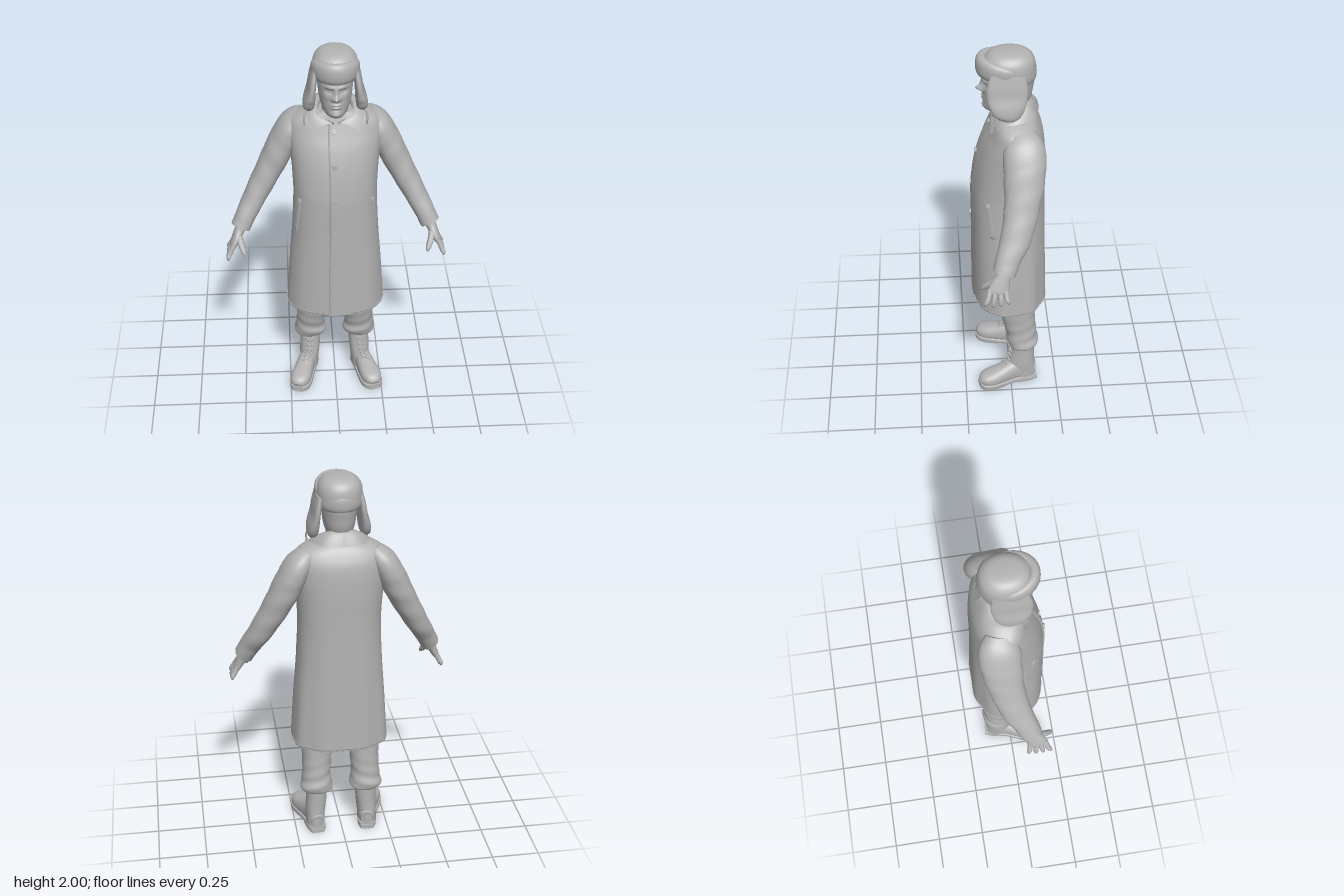
import * as THREE from 'three';

const grey = new THREE.MeshStandardMaterial({ color: 0xb2b2b2, side: THREE.DoubleSide });
grey.name = 'plain grey';
const V = (x, y, z) => new THREE.Vector3(x, y, z);

// Smoothly resample rows of numbers, 'steps' samples per interval
function resample(rows, steps) {
  const out = [], last = rows.length - 1;
  for (let i = 0; i <= last * steps; i++) {
    const k = Math.min(Math.floor(i / steps), last - 1), t = i / steps - k;
    const [a, b, c, d] = [k - 1, k, k + 1, k + 2].map(j => rows[Math.max(0, Math.min(last, j))]);
    out.push(b.map((v, j) => v + 0.5 * t * (c[j] - a[j] + t * (2 * a[j] - 5 * v + 4 * c[j] - d[j] + t * (3 * (v - c[j]) + d[j] - a[j])))));
  }
  return out;
}
const sup = (v, n) => Math.sign(v) * Math.pow(Math.abs(v), 2 / n);

// Loft rounded sections along rows [x, y, z, radius along hint, radius across]
function loft(rows, { hint = V(0, 0, 1), flat = false, n = 2.2, segs = 28, steps = 5, ripple = () => 1 } = {}) {
  const s = resample(rows, steps), pos = [], idx = [];
  const centre = s.map(r => V(r[0], r[1], r[2]));
  s.forEach((r, i) => {
    const T = centre[Math.min(i + 1, s.length - 1)].clone().sub(centre[Math.max(i - 1, 0)]).normalize();
    if (flat) T.set(0, Math.sign(T.y), 0);
    const a = hint.clone().addScaledVector(T, -hint.dot(T)).normalize(), b = T.clone().cross(a);
    for (let j = 0; j < segs; j++) {
      const p = j / segs * Math.PI * 2, k = ripple(p, r[1]);
      const q = centre[i].clone().addScaledVector(a, Math.max(r[3], 0.001) * k * sup(Math.cos(p), n))
        .addScaledVector(b, Math.max(r[4], 0.001) * k * sup(Math.sin(p), n));
      pos.push(q.x, q.y, q.z);
    }
  });
  for (let i = 0; i < s.length - 1; i++) for (let j = 0; j < segs; j++) {
    const A = i * segs + j, B = i * segs + (j + 1) % segs;
    idx.push(A, B, B + segs, A, B + segs, A + segs);
  }
  // end caps with their own corners, so the rim stays crisp
  for (const i of [0, s.length - 1]) {
    const base = pos.length / 3;
    pos.push(...pos.slice(i * segs * 3, (i + 1) * segs * 3), ...centre[i].toArray());
    for (let j = 0; j < segs; j++) {
      const A = base + j, B = base + (j + 1) % segs, C = base + segs;
      i ? idx.push(A, B, C) : idx.push(B, A, C);
    }
  }
  return build(pos, idx);
}
function build(pos, idx) {
  const g = new THREE.BufferGeometry();
  g.setAttribute('position', new THREE.Float32BufferAttribute(pos, 3));
  g.setIndex(idx);
  g.computeVertexNormals();
  return g;
}
// Open cloth surface from fn(u, v)
function sheet(fn, nu, nv) {
  const pos = [], idx = [];
  for (let i = 0; i <= nu; i++) for (let j = 0; j <= nv; j++) {
    pos.push(...fn(i / nu, j / nv).toArray());
    if (i < nu && j < nv) {
      const A = i * (nv + 1) + j, B = A + nv + 1;
      idx.push(A, B, B + 1, A, B + 1, A + 1);
    }
  }
  return build(pos, idx);
}
function mirrored(geo) {
  const g = geo.clone().scale(-1, 1, 1), ix = g.index.array;
  for (let i = 0; i < ix.length; i += 3) [ix[i], ix[i + 1]] = [ix[i + 1], ix[i]];
  g.computeVertexNormals();
  return g;
}
const cord = (pts, r) => new THREE.TubeGeometry(new THREE.CatmullRomCurve3(pts), 10, r, 6);

// Coat outline, hem to neck
const coatRows = [[0, 0.54, 0, 0.193, 0.257], [0, 0.8, 0.002, 0.19, 0.24], [0, 1, 0.003, 0.187, 0.224], [0, 1.2, 0.004, 0.185, 0.214],
  [0, 1.3, 0, 0.18, 0.216], [0, 1.4, -0.008, 0.172, 0.222], [0, 1.5, -0.02, 0.155, 0.232], [0, 1.57, -0.03, 0.135, 0.236],
  [0, 1.62, -0.03, 0.115, 0.222], [0, 1.655, -0.025, 0.098, 0.17], [0, 1.68, -0.015, 0.08, 0.1]];
const coatN = 2.4;
const coatFold = (p, y) => 1 + 0.02 * Math.max(0, Math.min(1, (1.25 - y) / 0.6)) * Math.cos(9 * p) * (1 - Math.cos(p)) / 2;
const coatFine = resample(coatRows, 6);
// Point on the coat at angle p from the front and height y, lifted by off
function coatPoint(p, y, off) {
  const i = Math.max(1, coatFine.findIndex(r => r[1] >= y)), a = coatFine[i - 1], b = coatFine[i];
  const r = a.map((v, j) => v + (b[j] - v) * (y - a[1]) / (b[1] - a[1])), k = coatFold(p, y);
  return V((r[4] * k + off) * sup(Math.sin(p), coatN), y, r[2] + (r[3] * k + off) * sup(Math.cos(p), coatN));
}

export function createModel() {
  const model = new THREE.Group();
  const add = (name, geo) => {
    const m = new THREE.Mesh(geo, grey);
    m.name = name;
    model.add(m);
  };
  const pair = (name, geo) => { add(name + 'Left', geo); add(name + 'Right', mirrored(geo)); };

  // Coat body, lining, front overlap, buttons and pockets
  add('coat', loft(coatRows, { flat: true, n: coatN, segs: 72, steps: 6, ripple: coatFold }));
  add('coatHem', loft([[0, 0.537, 0, 0.19, 0.254], [0, 0.552, 0, 0.196, 0.26]], { flat: true, n: coatN, segs: 72, steps: 1, ripple: coatFold }));
  add('frontOverlap', sheet((u, v) => {
    const w = Math.max(0, (u - 0.1) / 0.9);
    return coatPoint(-0.112 + 0.38 * w, 0.54 + 1.09 * v, u === 0 ? -0.004 : 0.008 * (1 - w) + 0.001);
  }, 10, 40));
  for (const y of [1.6, 1.43, 1.24, 1.05]) {
    const p = coatPoint(-0.02, y, 0.01);
    add('button', new THREE.CylinderGeometry(0.013, 0.014, 0.009, 20).rotateX(Math.PI / 2 - (y > 1.5 ? 0.5 : 0)).translate(p.x, p.y, p.z));
  }
  pair('pocketWelt', sheet((u, v) => coatPoint(0.9 + 0.17 * (1 - v) + 0.15 * u, 1.02 + 0.21 * v,
    u === 0 || u === 1 || v === 0 || v === 1 ? -0.002 : 0.007), 12, 16));

  // Turned-down collar: inner stand, fold, outer edge with front points
  const fold = [[0, 1.745, -0.09], [0.06, 1.735, -0.07], [0.088, 1.7, -0.01], [0.075, 1.665, 0.05], [0.01, 1.64, 0.088]];
  const edge = [[0, 1.672, -0.142], [0.1, 1.672, -0.118], [0.15, 1.668, -0.03], [0.143, 1.648, 0.045], [0.112, 1.597, 0.097]];
  const foldC = new THREE.CatmullRomCurve3(fold.map(p => V(...p)));
  const edgeC = new THREE.CatmullRomCurve3(edge.map(p => V(...p)));
  pair('collar', sheet((u, v) => {
    const f = foldC.getPoint(u);
    if (v < 0.3) return V(f.x * 0.93, f.y - 0.06 * (1 - v / 0.3), f.z * 0.93);
    const t = (v - 0.3) / 0.7, q = f.lerp(edgeC.getPoint(u), t);
    q.y += 0.012 * Math.sin(t * Math.PI);
    return q;
  }, 24, 10));

  // Sleeves
  pair('sleeve', loft([[0.165, 1.62, -0.045, 0.07, 0.04], [0.215, 1.56, -0.06, 0.102, 0.065], [0.27, 1.45, -0.058, 0.102, 0.072],
    [0.335, 1.32, -0.042, 0.088, 0.066], [0.405, 1.19, -0.01, 0.077, 0.058], [0.455, 1.1, 0.03, 0.064, 0.052], [0.49, 1.03, 0.056, 0.057, 0.05]],
  { segs: 36, steps: 8, ripple: (p, y) => 1 + 0.015 * Math.sin(y * 55 + 2 * p) * (y < 1.5 && y > 1.06) }));

  // Hands
  pair('palm', loft([[0.475, 1.055, 0.05, 0.034, 0.03], [0.497, 1.012, 0.062, 0.038, 0.026], [0.515, 0.975, 0.078, 0.048, 0.022],
    [0.53, 0.945, 0.087, 0.05, 0.018], [0.533, 0.936, 0.088, 0.042, 0.01]]));
  for (let k = 0; k < 4; k++) {
    const z = 0.05 + 0.025 * k, f = 0.006 * (k - 1), d = [0.016, 0.003, 0, 0.01][k];
    pair('finger', loft([[0.523, 0.965, z, 0.013, 0.012], [0.547, 0.918, z + f, 0.0135, 0.013],
      [0.556, 0.888 + d, z + 2 * f, 0.011, 0.011], [0.557, 0.873 + d, z + 2.2 * f, 0.004, 0.004]], { segs: 12 }));
  }
  pair('thumb', loft([[0.502, 1.0, 0.085, 0.018, 0.018], [0.488, 0.965, 0.13, 0.018, 0.016], [0.475, 0.935, 0.158, 0.014, 0.013],
    [0.469, 0.918, 0.17, 0.005, 0.005]], { segs: 12 }));

  // Trousers gathered above the boots
  pair('trouserLeg', loft([[0.115, 0.8, -0.02, 0.09, 0.085], [0.127, 0.55, -0.03, 0.095, 0.08], [0.13, 0.42, -0.045, 0.088, 0.077],
    [0.134, 0.33, -0.06, 0.081, 0.076], [0.134, 0.285, -0.065, 0.084, 0.086], [0.134, 0.258, -0.068, 0.078, 0.083], [0.135, 0.243, -0.068, 0.062, 0.066]],
  { flat: true, segs: 40, steps: 8, ripple: (p, y) => 1 + 0.03 * Math.max(0, Math.min(1, (0.5 - y) / 0.2)) * Math.sin(y * 90 + 2 * p) }));

  // Boots: shaft, foot, sole, heel, laces
  pair('bootShaft', loft([[0.135, 0.27, -0.07, 0.06, 0.053], [0.135, 0.2, -0.067, 0.063, 0.055], [0.14, 0.13, -0.06, 0.072, 0.054],
    [0.143, 0.07, -0.058, 0.08, 0.05], [0.143, 0.03, -0.058, 0.08, 0.05]], { flat: true }));
  const foot = [[0.135, 0.06, -0.133, 0.045, 0.032], [0.14, 0.065, -0.09, 0.06, 0.046], [0.155, 0.07, -0.02, 0.064, 0.045], [0.176, 0.06, 0.05, 0.052, 0.052],
    [0.195, 0.052, 0.11, 0.044, 0.056], [0.207, 0.045, 0.15, 0.036, 0.045], [0.212, 0.038, 0.17, 0.018, 0.022]];
  const up = V(0, 1, 0);
  pair('bootFoot', loft(foot, { hint: up, n: 2.4 }));
  pair('bootSole', loft(foot.map(r => [r[0], 0.021, r[2] * 1.03, 0.014, r[4] + 0.004]), { hint: up, n: 6 }));
  pair('bootForesole', loft(foot.slice(3).map(r => [r[0], 0.01, r[2] * 1.02, 0.01, r[4] + 0.002]), { hint: up, n: 6 }));
  pair('bootHeel', loft(foot.slice(0, 3).map(r => [r[0], 0.012, r[2] * 1.02 - 0.008, 0.012, r[4] + 0.003]), { hint: up, n: 6 }));
  const lace = [[0.138, 0.235, -0.004], [0.139, 0.205, 0], [0.142, 0.175, 0.005], [0.146, 0.148, 0.014], [0.156, 0.13, 0.03], [0.168, 0.118, 0.055]];
  for (let i = 0; i < lace.length - 1; i++) for (const s of [-1, 1]) {
    const a = V(...lace[i]), b = V(...lace[i + 1]), m = a.clone().lerp(b, 0.5).add(V(0, 0.003, 0.005));
    pair('lace', cord([a.add(V(s * 0.025, 0, -0.006)), m, b.add(V(-s * 0.025, 0, -0.006))], 0.004));
  }

  // Neck and head, face shaped by soft bumps [x, y, width, height, amount]
  add('neck', loft([[0, 1.58, -0.015, 0.075, 0.072], [0, 1.66, -0.005, 0.07, 0.066], [0, 1.78, 0, 0.072, 0.068]], { flat: true }));
  const head = loft([[0, 1.672, 0.05, 0.05, 0.03], [0, 1.685, 0.03, 0.088, 0.052], [0, 1.71, 0.018, 0.108, 0.066], [0, 1.75, 0.01, 0.118, 0.078],
    [0, 1.8, 0.005, 0.122, 0.085], [0, 1.86, 0.002, 0.126, 0.088], [0, 1.93, 0, 0.11, 0.08]], { flat: true, segs: 96, steps: 12 });
  const bumps = [[0, 1.795, 0.013, 0.014, 0.033], [0, 1.82, 0.01, 0.022, 0.014], [0.016, 1.79, 0.009, 0.009, 0.012], [0.034, 1.827, 0.018, 0.012, -0.014],
    [0.034, 1.827, 0.009, 0.006, 0.008], [0.03, 1.848, 0.025, 0.008, 0.007], [0.05, 1.795, 0.018, 0.018, 0.004], [0, 1.756, 0.022, 0.005, 0.009],
    [0, 1.741, 0.02, 0.005, 0.009], [0, 1.728, 0.02, 0.006, -0.004], [0, 1.7, 0.025, 0.014, 0.009]];
  const hp = head.attributes.position;
  for (let i = 0; i < hp.count; i++) {
    const x = Math.abs(hp.getX(i)), y = hp.getY(i), z = hp.getZ(i);
    if (z > 0.04) hp.setZ(i, z + bumps.reduce((s, b) => s + b[4] * Math.exp(-(((x - b[0]) / b[2]) ** 2) - ((y - b[1]) / b[3]) ** 2), 0));
  }
  head.computeVertexNormals();
  add('head', head);

  // Fur hat: crown, front roll, back band, ear flaps with cords
  add('hatCrown', loft([[0, 1.85, -0.005, 0.115, 0.105], [0, 1.9, -0.003, 0.126, 0.113], [0, 1.95, 0, 0.122, 0.106],
    [0, 1.98, 0, 0.1, 0.085], [0, 1.995, 0, 0.065, 0.055], [0, 2, 0, 0.002, 0.002]], { flat: true, segs: 40 }));
  const roll = (from, to, y, rise, h, w) => {
    const rows = [];
    for (let i = 0; i <= 14; i++) {
      const t = from + (to - from) * i / 14, e = Math.pow(Math.sin(Math.PI * (0.03 + 0.94 * i / 14)), 0.35);
      rows.push([0.1 * Math.sin(t), y + rise * Math.cos(t), 0.002 + (Math.cos(t) > 0 ? 0.132 : 0.113) * Math.cos(t), h * e, w * e]);
    }
    return loft(rows, { hint: up, steps: 4, n: 2.4 });
  };
  add('hatFrontRoll', roll(-1.75, 1.75, 1.912, 0.012, 0.054, 0.029));
  add('hatBackBand', roll(1.3, 2 * Math.PI - 1.3, 1.888, 0.004, 0.046, 0.022));
  pair('earFlap', loft([[0.1, 1.91, 0.01, 0.085, 0.016], [0.11, 1.85, 0.014, 0.098, 0.02], [0.117, 1.8, 0.016, 0.098, 0.022], [0.127, 1.745, 0.02, 0.086, 0.029],
    [0.132, 1.705, 0.03, 0.062, 0.028], [0.134, 1.687, 0.036, 0.03, 0.014]], { n: 2.6 }));
  pair('flapCord', cord([V(0.142, 1.71, 0.06), V(0.155, 1.67, 0.075), V(0.152, 1.625, 0.078)], 0.005));

  return model;
}
